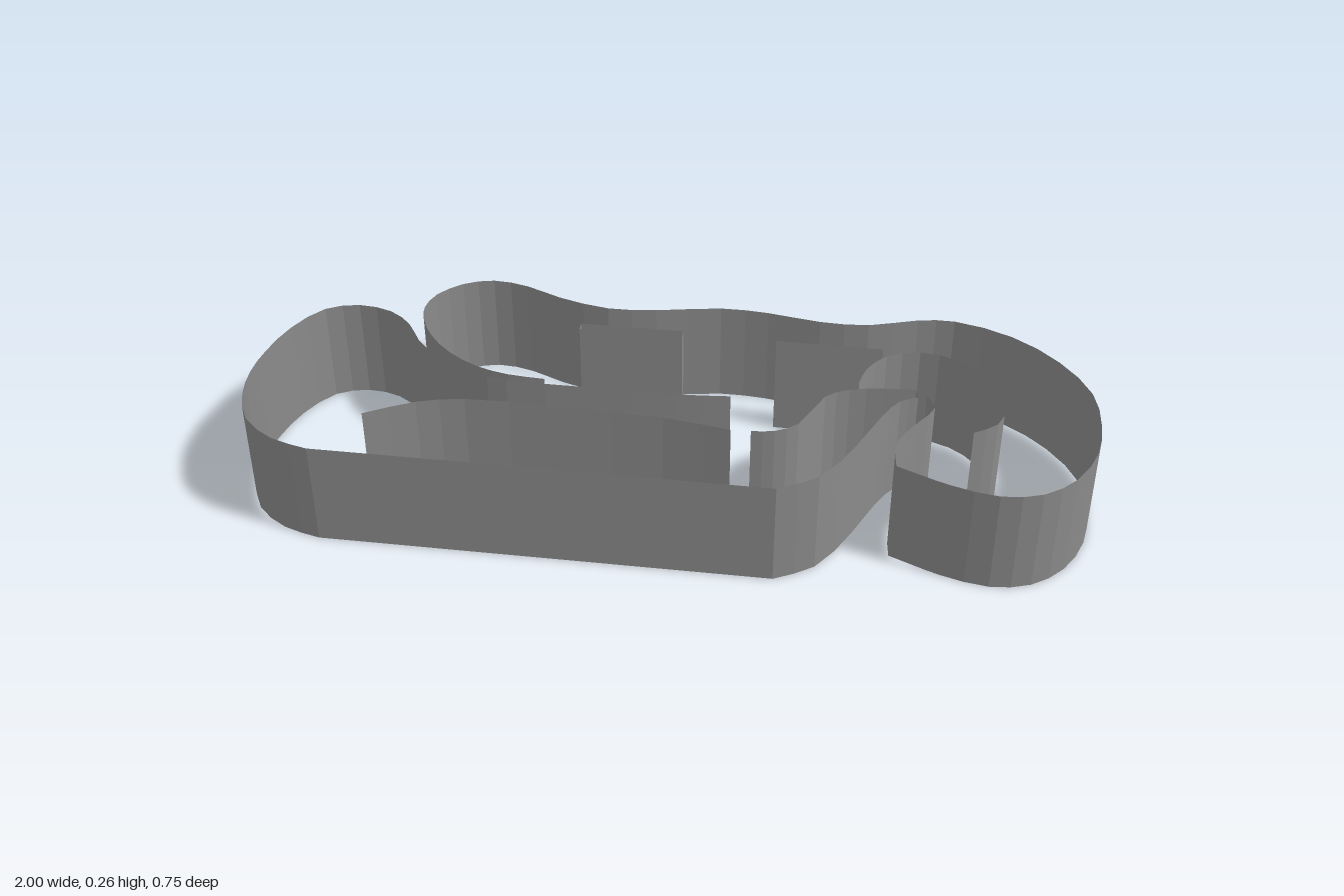
import * as THREE from 'three';

const HEIGHT = 0.262;

export function createModel() {
  const group = new THREE.Group();
  const grey = new THREE.MeshStandardMaterial({ color: 0x8a8a8a, flatShading: true, side: THREE.DoubleSide });
  grey.name = 'plain grey';

  // upright open wall following a plan path of [x, z] points
  function wall(name, path, steps = 0) {
    let pts = path.map(([x, z]) => new THREE.Vector2(x, z));
    if (steps) {
      const curve = new THREE.CatmullRomCurve3(pts.map(p => new THREE.Vector3(p.x, 0, p.y)), false, 'centripetal');
      pts = curve.getPoints(steps * (path.length - 1)).map(p => new THREE.Vector2(p.x, p.z));
    }
    const position = [];
    const index = [];
    pts.forEach((p, i) => {
      position.push(p.x, 0, p.y, p.x, HEIGHT, p.y);
      if (i) {
        const a = 2 * (i - 1);
        index.push(a, a + 2, a + 1, a + 1, a + 2, a + 3);
      }
    });
    const geometry = new THREE.BufferGeometry();
    geometry.setAttribute('position', new THREE.Float32BufferAttribute(position, 3));
    geometry.setIndex(index);
    geometry.computeVertexNormals();
    const mesh = new THREE.Mesh(geometry, grey);
    mesh.name = name;
    group.add(mesh);
  }

  // spring gate: long straight side, then a rounded end that folds back inside
  wall('gateStraightSide', [[0.283, 0.375], [-0.78, 0.375]]);
  wall('gateRoundedEnd', [
    [-0.78, 0.375], [-0.87, 0.348], [-0.95, 0.285], [-0.99, 0.19], [-1, 0.1], [-0.99, 0.01],
    [-0.96, -0.095], [-0.9, -0.188], [-0.82, -0.217], [-0.735, -0.2], [-0.675, -0.15], [-0.635, -0.085],
    [-0.57, -0.02], [-0.48, 0.03], [-0.39, 0.05], [-0.19, 0.055], [0.015, 0.055], [0.145, 0.045],
  ], 2);
  wall('gateInnerSide', [
    [-0.692, 0.228], [-0.58, 0.167], [-0.47, 0.14], [-0.25, 0.14], [0, 0.15], [0.16, 0.175],
  ], 2);

  // gate latch reaching into the hook, and its return wall
  wall('gateLatchOuter', [
    [0.283, 0.375], [0.374, 0.32], [0.45, 0.19], [0.5, 0.075], [0.54, 0.01], [0.58, -0.01],
  ], 2);
  wall('gateLatchTip', [[0.58, -0.01], [0.575, -0.04]]);
  wall('gateLatchInner', [
    [0.575, -0.04], [0.5, -0.035], [0.42, -0.02], [0.365, 0.015], [0.312, 0.13], [0.26, 0.165], [0.206, 0.173],
  ], 2);

  // body: slit side, rounded nose, wavy back and large hook lobe
  wall('bodyOuterWall', [
    [-0.3, 0.035], [-0.39, 0.028], [-0.47, 0.005], [-0.55, -0.045], [-0.61, -0.11],
    [-0.645, -0.175], [-0.656, -0.23], [-0.64, -0.29], [-0.585, -0.348], [-0.51, -0.375], [-0.42, -0.36],
    [-0.33, -0.32], [-0.2, -0.287], [-0.08, -0.295], [0.08, -0.325], [0.2, -0.32], [0.33, -0.298],
    [0.45, -0.3], [0.57, -0.338], [0.66, -0.345], [0.8, -0.295], [0.912, -0.2], [0.985, -0.08],
    [1, 0.04], [0.988, 0.15], [0.94, 0.25], [0.865, 0.315], [0.77, 0.335], [0.66, 0.31], [0.6, 0.285], [0.54, 0.258],
  ], 2);

  // inside of the hook: tip return and round pocket
  wall('hookTipReturn', [[0.54, 0.258], [0.537, 0.17], [0.585, 0.085], [0.62, 0.025], [0.6, -0.02]], 2);
  wall('hookPocket', [
    [0.71, 0.11], [0.765, 0.07], [0.783, -0.005], [0.74, -0.11], [0.67, -0.175], [0.58, -0.198],
    [0.5, -0.17], [0.455, -0.11], [0.44, -0.055],
  ], 2);
  wall('hookStraightWall', [[0.49, -0.198], [0.23, -0.2]]);

  // narrow upright slot beside the back
  wall('backSlot', [[-0.255, -0.187], [0, -0.187], [0, -0.21], [-0.255, -0.21], [-0.255, -0.187]]);

  return group;
}
